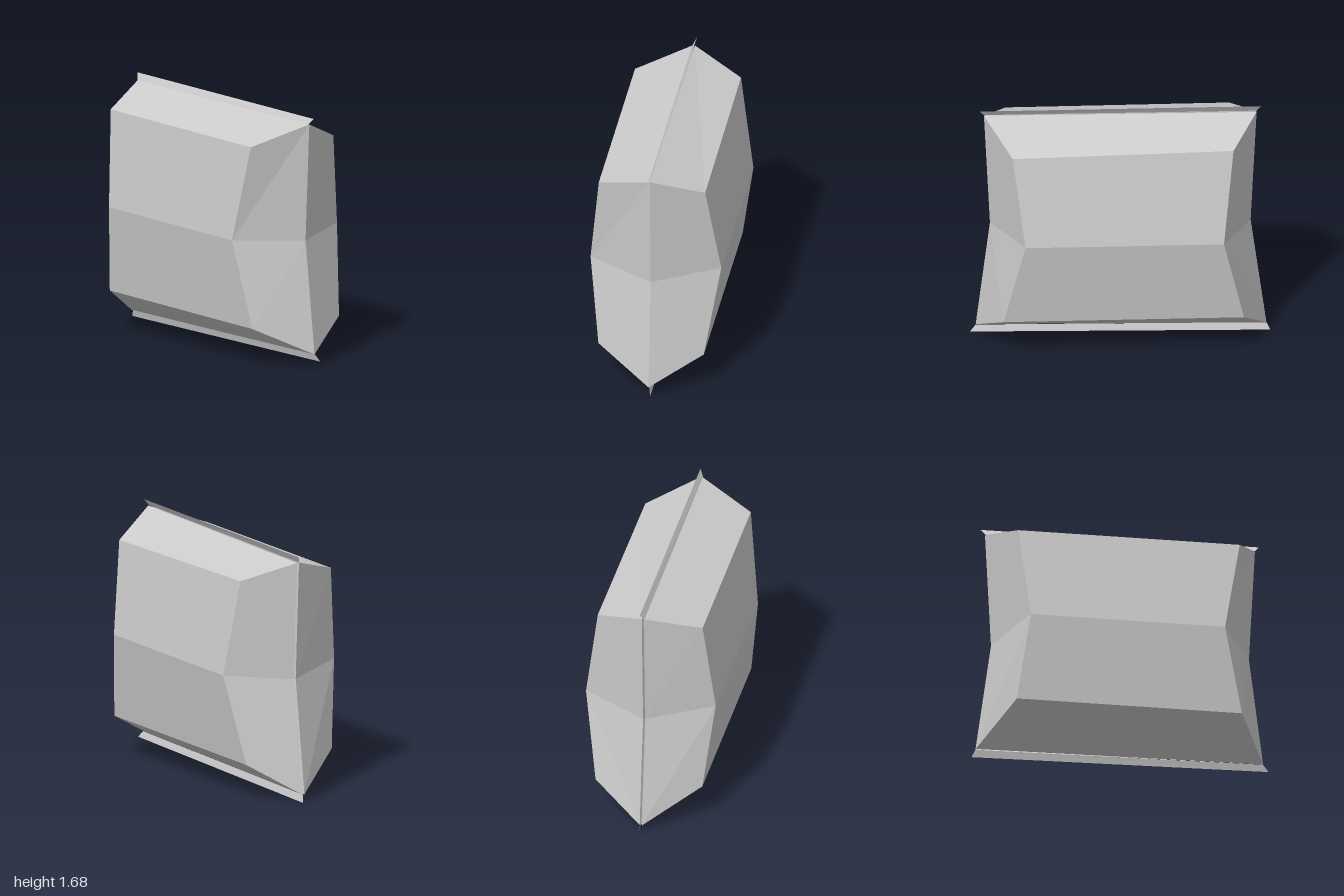
import * as THREE from 'three';

const wrap = new THREE.MeshStandardMaterial({ color: 0xcccccc, flatShading: true, side: THREE.DoubleSide });
wrap.name = 'light grey wrap';

// Faceted mesh from quads, each four [x, y, z] corners in anticlockwise order
function quadMesh(name, quads, flip = false) {
  const order = flip ? [0, 2, 1, 0, 3, 2] : [0, 1, 2, 0, 2, 3];
  const positions = quads.flatMap(q => order.flatMap(i => q[i]));
  const geometry = new THREE.BufferGeometry();
  geometry.setAttribute('position', new THREE.Float32BufferAttribute(positions, 3));
  geometry.computeVertexNormals();
  const mesh = new THREE.Mesh(geometry, wrap);
  mesh.name = name;
  return mesh;
}

// Outline of the packet in its middle plane: [z, y], from bottom front round the back to middle front
const seam = [[0.96, 0.08], [-0.975, 0.05], [-0.87, 0.82], [-0.91, 1.625], [0.905, 1.637], [0.865, 0.84]];

// Raised side panel corners: [x, y, z], in the same order as the seam
const leftPanel = [
  [0.345, 0.268, 0.79], [0.345, 0.265, -0.81], [0.44, 0.862, -0.672],
  [0.345, 1.51, -0.74], [0.345, 1.485, 0.73], [0.44, 0.866, 0.65],
];
const rightPanel = [
  [-0.37, 0.27, 0.76], [-0.37, 0.27, -0.755], [-0.443, 0.862, -0.672],
  [-0.37, 1.505, -0.745], [-0.37, 1.505, 0.745], [-0.443, 0.862, 0.635],
];

// One bulging half: sloping faces from seam to panel, plus the folded panel
function half(name, panel, side) {
  // the back edge stands slightly apart to leave the seam groove
  const rim = seam.map(([z, y]) => [z < 0 ? side * 0.008 : 0, y, z]);
  const quads = rim.map((p, i) => {
    const n = (i + 1) % rim.length;
    return [p, rim[n], panel[n], panel[i]];
  });
  const [a, b, c, d, e, f] = panel;
  quads.push([a, b, c, f], [f, c, d, e]);
  return quadMesh(name, quads, side < 0);
}

export function createModel() {
  const group = new THREE.Group();
  group.name = 'pillowPacket';
  group.add(half('leftHalf', leftPanel, 1), half('rightHalf', rightPanel, -1));

  // Narrow inset groove along the back seam
  const groove = [];
  for (const s of [1, -1]) for (const i of [1, 2]) {
    const [z0, y0] = seam[i], [z1, y1] = seam[i + 1];
    const q = [[s * 0.008, y0, z0], [0, y0, z0 + 0.02], [0, y1, z1 + 0.02], [s * 0.008, y1, z1]];
    groove.push(s > 0 ? q : q.reverse());
  }
  group.add(quadMesh('backSeam', groove));

  // Thin crimped fins along the top and bottom edges
  group.add(quadMesh('topFin', [
    [[-0.01, 1.637, 0.905], [-0.01, 1.625, -0.91], [0.015, 1.67, -0.94], [0.015, 1.677, 0.935]],
  ]));
  group.add(quadMesh('bottomFin', [
    [[0.018, 0.003, 1 - 0.0], [0.018, 0, -1], [0.005, 0.05, -0.975], [0.005, 0.08, 0.96]].map(
      ([x, y, z], i) => [x, i === 0 ? 0.035 : y, z]),
  ]));
  return group;
}
